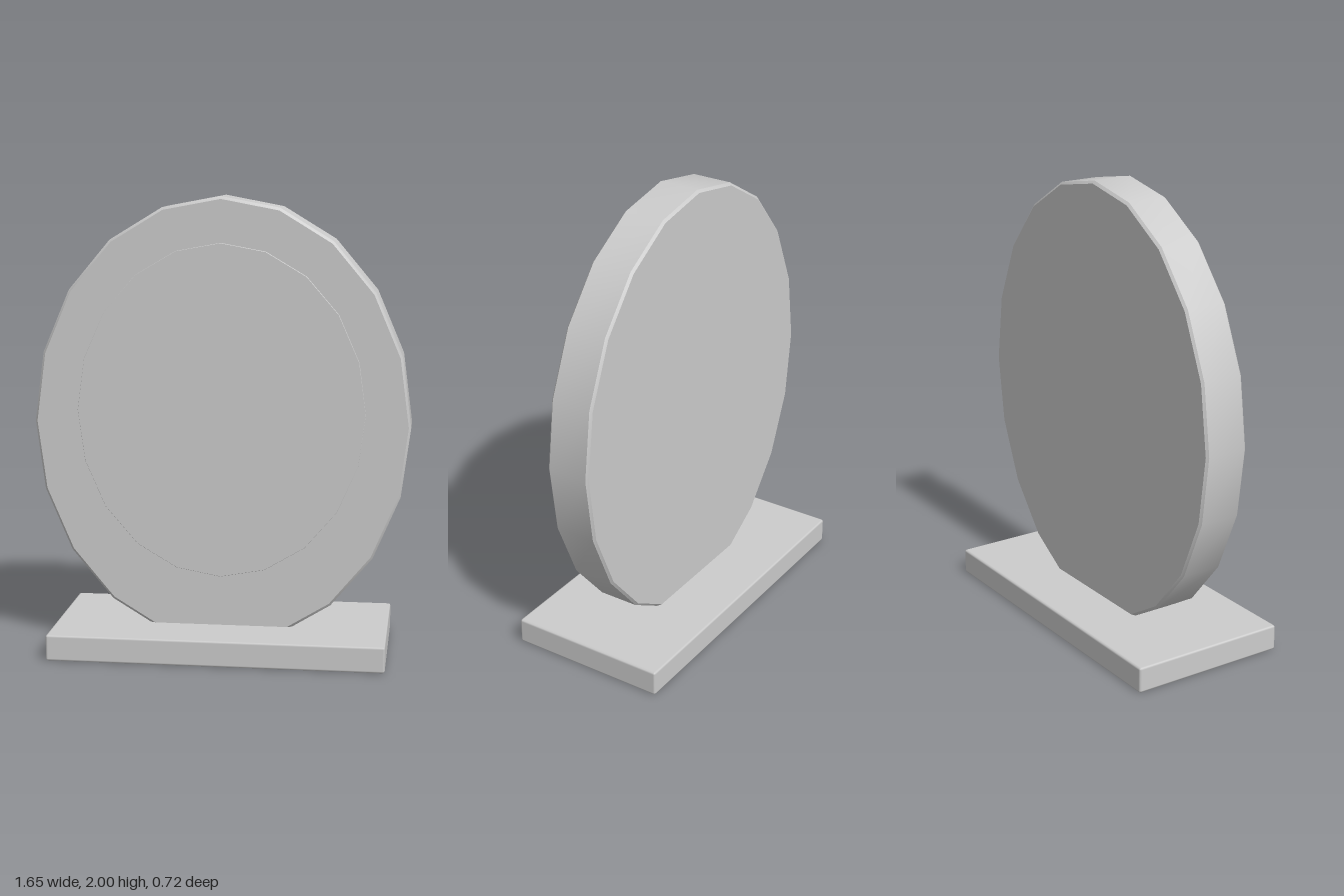
import * as THREE from 'three';
import { toCreasedNormals } from 'three/addons/utils/BufferGeometryUtils.js';
import { RoundedBoxGeometry } from 'three/addons/geometries/RoundedBoxGeometry.js';

const material = new THREE.MeshStandardMaterial({ color: 0xcccccc });

// Upright 20-sided oval slab from z0 to z1, with a small chamfer on its rims
function ovalSlab(name, rx, ry, y, z0, z1, bevel) {
  const b = bevel / rx;
  const profile = [[0, z0], [1 - b, z0], [1, z0 + bevel], [1, z1 - bevel], [1 - b, z1], [0, z1]]
    .map(([r, h]) => new THREE.Vector2(r, h));
  let geometry = new THREE.LatheGeometry(profile, 20);
  geometry.scale(rx, 1, ry);
  geometry.rotateX(Math.PI / 2);
  geometry = toCreasedNormals(geometry, THREE.MathUtils.degToRad(30));
  const mesh = new THREE.Mesh(geometry, material);
  mesh.name = name;
  mesh.position.y = y;
  return mesh;
}

export function createModel() {
  const group = new THREE.Group();
  group.name = 'ovalStand';

  // Flat plinth with slightly softened edges
  const base = new THREE.Mesh(new RoundedBoxGeometry(1.47, 0.115, 0.72, 1, 0.01), material);
  base.name = 'base';
  base.position.y = 0.0575;
  group.add(base);

  // Oval body sunk into the plinth, and the thin raised panel on its front
  group.add(ovalSlab('frame', 0.824, 0.985, 1.015, -0.1, 0.1, 0.01));
  group.add(ovalSlab('frontPanel', 0.63, 0.732, 1.07, 0.09, 0.114, 0.001));

  return group;
}
